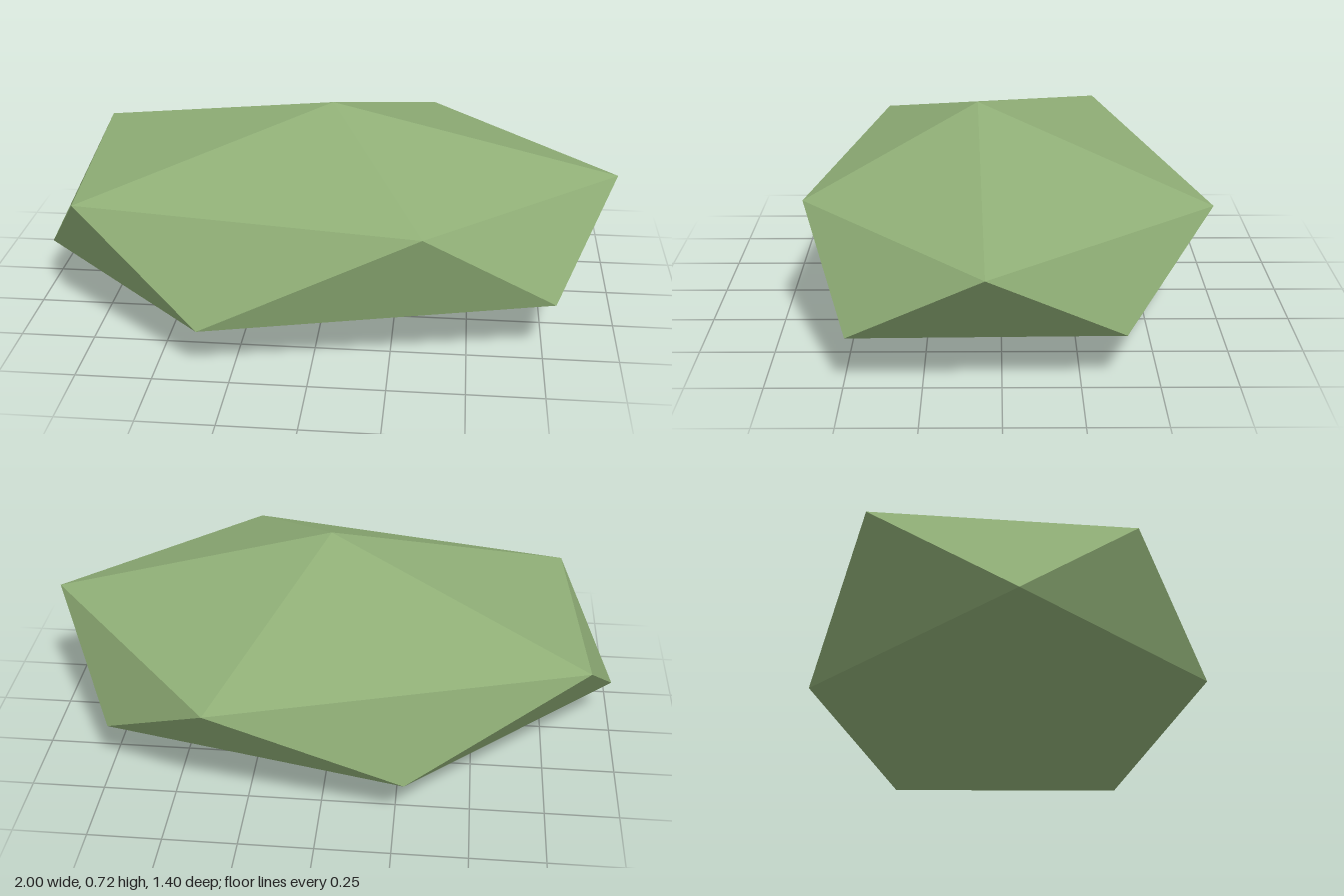
import * as THREE from 'three';

// Irregular faceted boulder: two offset five-point rings capped by two poles
const TOP = [0.02, 0.72, 0.08];
const BOTTOM = [-0.07, 0, 0.035];
const UPPER = [
  [1.0, 0.475, 0.05], [0.35, 0.48, 0.655], [-0.81, 0.46, 0.45],
  [-0.87, 0.485, -0.38], [0.355, 0.46, -0.7],
];
const LOWER = [
  [0.785, 0.19, 0.485], [-0.36, 0.15, 0.7], [-1.0, 0.155, 0.08],
  [-0.28, 0.165, -0.61], [0.75, 0.18, -0.39],
];

function boulderGeometry() {
  const positions = [];
  const face = (...corners) => positions.push(...corners.flat());
  const count = UPPER.length;
  for (let i = 0; i < count; i++) {
    const j = (i + 1) % count;
    face(TOP, UPPER[j], UPPER[i]); // crown
    face(UPPER[i], UPPER[j], LOWER[i]); // side, pointing down
    face(UPPER[j], LOWER[j], LOWER[i]); // side, pointing up
    face(BOTTOM, LOWER[i], LOWER[j]); // underside
  }
  const geometry = new THREE.BufferGeometry();
  geometry.setAttribute('position', new THREE.Float32BufferAttribute(positions, 3));
  geometry.computeVertexNormals();
  return geometry;
}

export function createModel() {
  const group = new THREE.Group();
  group.name = 'boulder';

  const mossGreen = new THREE.MeshStandardMaterial({ color: 0x8fae76, flatShading: true });
  mossGreen.name = 'mossGreen';

  const rock = new THREE.Mesh(boulderGeometry(), mossGreen);
  rock.name = 'rock';
  group.add(rock);
  return group;
}
